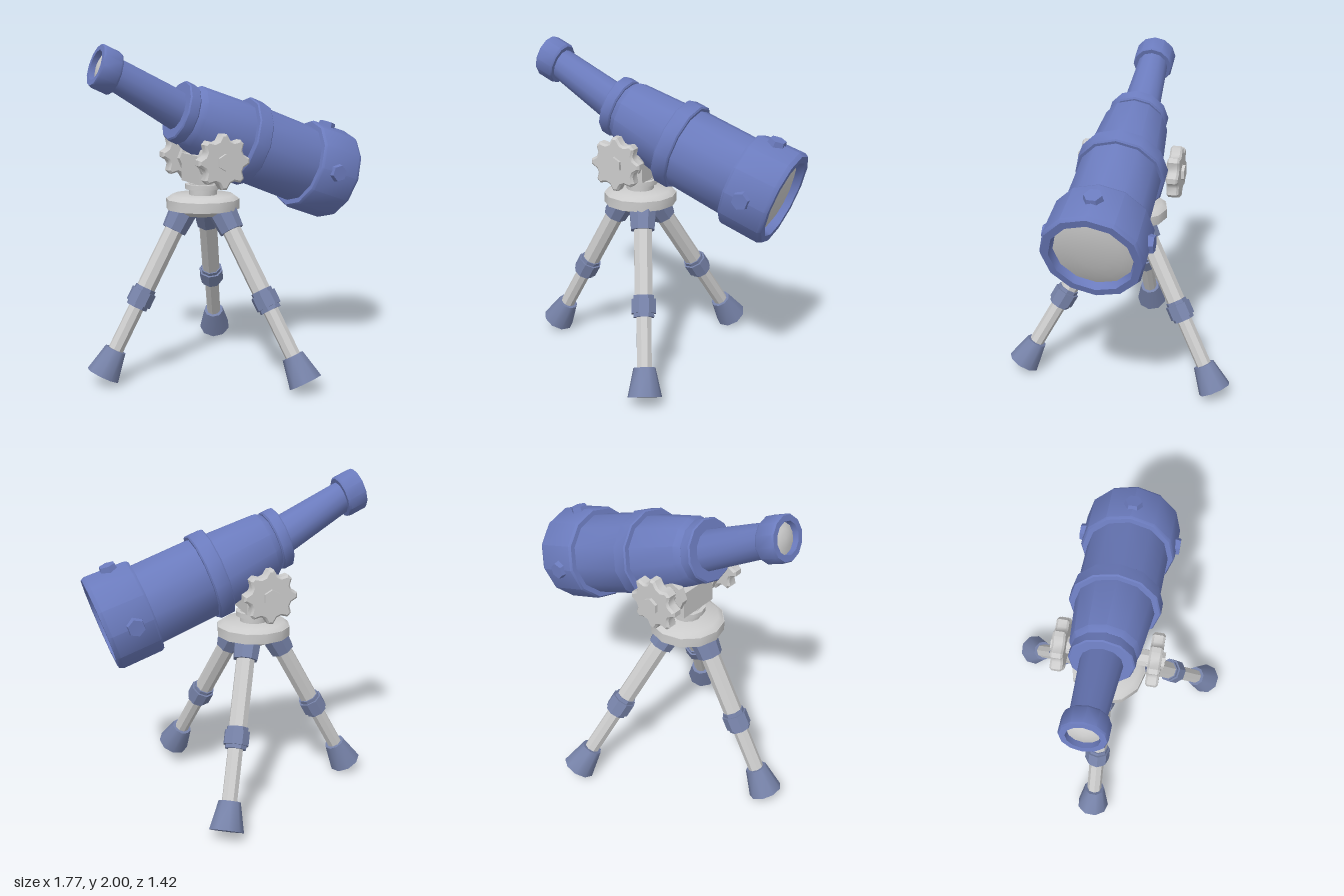
import * as THREE from 'three';
import { toCreasedNormals } from 'three/addons/utils/BufferGeometryUtils.js';

const mat = (color) => new THREE.MeshStandardMaterial({ color });
const BLUE = mat(0x6b7bbd), GREY = mat(0xcccccc), STEEL = mat(0x7682a8);

function add(parent, name, geo, material, x = 0, y = 0, z = 0) {
  const mesh = new THREE.Mesh(toCreasedNormals(geo, 0.7), material);
  mesh.name = name;
  mesh.position.set(x, y, z);
  parent.add(mesh);
  return mesh;
}
const cyl = (rTop, rBottom, h, n) => new THREE.CylinderGeometry(rTop, rBottom, h, n);

// Drop of the barrel's centre line below the eyepiece axis at distance s
const DROP = [[0, 0], [0.12, 0.012], [0.55, 0.093], [0.99, 0.135], [1.46, 0.157], [2, 0.157]];
function drop(s) {
  for (let i = 1; i < DROP.length; i++) {
    const [a, p] = DROP[i - 1], [b, q] = DROP[i];
    if (s <= b) return p + (q - p) * (Math.max(s, a) - a) / (b - a);
  }
  return 0.157;
}

// Turned part along local x from [s, radius] pairs, following the centre line
function turned(parent, name, profile, material) {
  const geo = new THREE.LatheGeometry(profile.map(([s, r]) => new THREE.Vector2(r, s)), 12);
  geo.rotateZ(-Math.PI / 2);
  const p = geo.attributes.position;
  for (let i = 0; i < p.count; i++) p.setY(i, p.getY(i) - drop(p.getX(i)));
  return add(parent, name, geo, material);
}
const ring = (s0, s1, r, inner) =>
  [[s0, inner], [s0, r - 0.008], [s0 + 0.008, r], [s1 - 0.008, r], [s1, r - 0.008], [s1, inner]];

function telescope() {
  const g = new THREE.Group();
  g.name = 'telescope';
  g.position.set(-0.79, 1.876, -0.155);
  g.rotation.set(0, -0.141, -0.329, 'YZX');
  turned(g, 'eyepieceRing', [[0.05, 0.085], [0, 0.09], [0, 0.122], [0.01, 0.128], [0.11, 0.128], [0.123, 0.12], [0.123, 0.08]], BLUE);
  turned(g, 'eyepieceLens', [[0.012, 0], [0.02, 0.05], [0.035, 0.09]], GREY);
  turned(g, 'drawTube', [[0.11, 0.095], [0.56, 0.12]], BLUE);
  turned(g, 'rearRing', ring(0.547, 0.62, 0.185, 0.1), BLUE);
  turned(g, 'rearTube', [[0.59, 0.14], [0.625, 0.172], [0.66, 0.198], [1.0, 0.232]], BLUE);
  turned(g, 'middleRing', ring(0.987, 1.087, 0.268, 0.2), BLUE);
  turned(g, 'frontTube', [[1.07, 0.243], [1.48, 0.248]], BLUE);
  turned(g, 'objectiveHood', [[1.459, 0.23], [1.459, 0.278], [1.475, 0.288], [1.72, 0.293], [1.744, 0.28], [1.744, 0.238], [1.69, 0.225]], BLUE);
  turned(g, 'objectiveLens', [[1.695, 0.23], [1.712, 0.17], [1.722, 0.09], [1.726, 0]], GREY);
  // Bolt heads on the top and both sides of the hood
  for (const a of [-Math.PI / 2, 0, Math.PI / 2]) {
    const bolt = add(g, 'hoodBolt', cyl(0.05, 0.06, 0.05, 6), BLUE, 1.58, -0.157 + 0.285 * Math.cos(a), 0.285 * Math.sin(a));
    bolt.rotation.x = a;
  }
  return g;
}

// Scalloped hand wheel facing +z
function knobGeometry() {
  const shape = new THREE.Shape();
  const lobes = 8, n = lobes * 4;
  for (let i = 0; i < n; i++) {
    const a = (i + 0.5) / n * Math.PI * 2;
    const r = 0.146 + 0.016 * Math.sign(Math.cos(a * lobes));
    shape[i ? 'lineTo' : 'moveTo'](r * Math.cos(a), r * Math.sin(a));
  }
  shape.closePath();
  return new THREE.ExtrudeGeometry(shape, {
    depth: 0.05, bevelEnabled: true, bevelSize: 0.012, bevelOffset: -0.012, bevelThickness: 0.012, bevelSegments: 1,
  }).translate(0, 0, -0.025);
}

function mount() {
  const g = new THREE.Group();
  g.name = 'mount';
  g.position.set(-0.14, 0, -0.06);
  g.rotation.y = -0.141;
  // Stacked base plate and swivel
  add(g, 'plateUnderside', cyl(0.2, 0.14, 0.04, 12), GREY, 0, 1.0, 0);
  add(g, 'basePlate', cyl(0.225, 0.225, 0.06, 12), GREY, 0, 1.045, 0);
  add(g, 'plateTop', cyl(0.19, 0.222, 0.025, 12), GREY, 0, 1.087, 0);
  add(g, 'swivelNeck', cyl(0.085, 0.085, 0.08, 12), GREY, 0, 1.13, 0);
  add(g, 'swivelDisc', cyl(0.11, 0.11, 0.03, 12), GREY, 0, 1.15, 0);
  // Bracket block, cheeks and axle
  add(g, 'bracket', new THREE.BoxGeometry(0.17, 0.17, 0.26), GREY, 0, 1.26, 0);
  add(g, 'axle', cyl(0.05, 0.05, 0.52, 8).rotateX(Math.PI / 2), GREY, 0, 1.325, 0);
  for (const side of [1, -1]) {
    add(g, 'bracketCheek', cyl(0.1, 0.1, 0.04, 8).rotateX(Math.PI / 2), GREY, 0, 1.31, side * 0.14);
    add(g, 'knob', knobGeometry(), GREY, 0, 1.325, side * 0.275);
    add(g, 'knobHub', cyl(0.05, 0.05, 0.11, 6).rotateX(Math.PI / 2), GREY, 0, 1.325, side * 0.275);
  }
  return g;
}

// Tripod leg from its foot to its top
function leg(foot, top) {
  const g = new THREE.Group();
  g.name = 'leg';
  const a = new THREE.Vector3(...foot), dir = new THREE.Vector3(...top).sub(a);
  const len = dir.length();
  g.position.copy(a);
  g.quaternion.setFromUnitVectors(new THREE.Vector3(0, 1, 0), dir.normalize());
  const mid = len * 0.45;
  add(g, 'foot', cyl(0.066, 0.103, 0.17, 9), STEEL, 0, 0.085, 0);
  add(g, 'lowerTube', cyl(0.047, 0.047, mid - 0.1, 8), GREY, 0, (mid + 0.1) / 2, 0);
  add(g, 'legCollar', cyl(0.078, 0.078, 0.085, 8), STEEL, 0, mid + 0.01, 0);
  add(g, 'legCollarLip', cyl(0.066, 0.066, 0.13, 8), STEEL, 0, mid + 0.01, 0);
  add(g, 'upperTube', cyl(0.058, 0.058, len - mid, 8), GREY, 0, (len + mid) / 2, 0);
  add(g, 'topCollar', cyl(0.088, 0.076, 0.14, 8), STEEL, 0, len - 0.09, 0);
  return g;
}

export function createModel() {
  const model = new THREE.Group();
  model.name = 'telescopeOnTripod';
  model.add(telescope(), mount());
  model.add(leg([-0.79, 0.05, -0.155], [-0.25, 1.03, -0.085]));
  model.add(leg([0.135, 0.05, 0.615], [-0.085, 1.03, 0.05]));
  model.add(leg([0.315, 0.05, -0.625], [-0.08, 1.03, -0.11]));
  return model;
}
